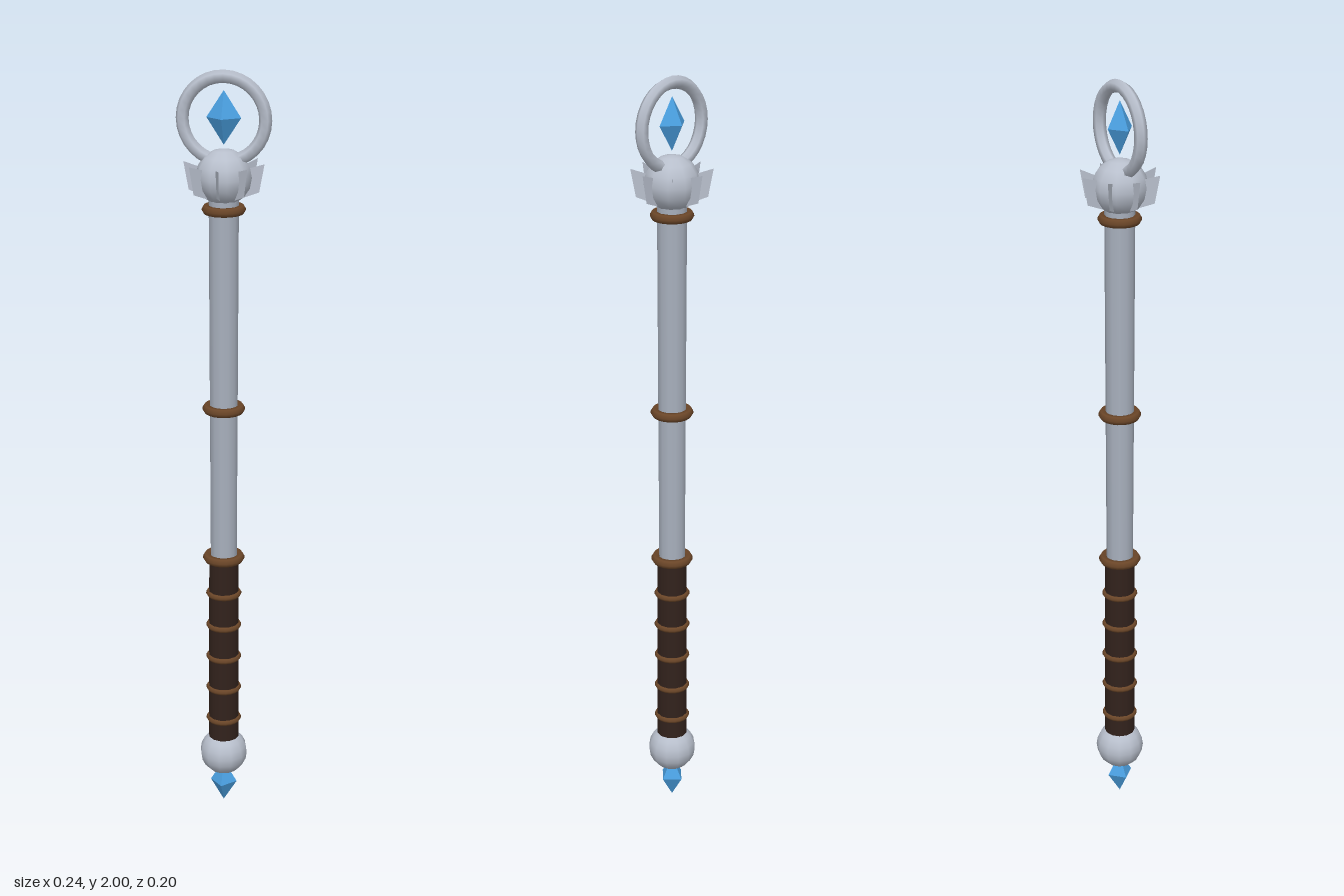
import * as THREE from 'three';

export function createModel() {
  const group = new THREE.Group();
  const mat = (color, extra = {}) => new THREE.MeshStandardMaterial({ color, ...extra });
  const steel = mat(0xb8bfcc);
  const shaftSteel = mat(0xa8b0bd);
  const finSteel = mat(0xb8bfcc, { side: THREE.DoubleSide });
  const leather = mat(0x32221c);
  const bronze = mat(0x6b4628);
  const gem = mat(0x4a9fe0, { flatShading: true });

  const add = (name, geometry, material, y) => {
    const mesh = new THREE.Mesh(geometry, material);
    mesh.name = name;
    mesh.position.y = y;
    group.add(mesh);
    return mesh;
  };
  const band = (name, y, radius, tube) =>
    add(name, new THREE.TorusGeometry(radius, tube, 6, 20).rotateX(Math.PI / 2), bronze, y);
  const crystal = (name, y, rx, ry, rz) =>
    add(name, new THREE.OctahedronGeometry(1, 0).scale(rx, ry, rz), gem, y);

  // Shaft, slightly wider toward the top
  add('shaft', new THREE.CylinderGeometry(0.038, 0.033, 1.52, 12), shaftSteel, 0.95);

  // Leather grip with thin bands
  add('grip', new THREE.CylinderGeometry(0.039, 0.041, 0.52, 12), leather, 0.455);
  for (let i = 0; i < 5; i++) band('gripBand', 0.257 + i * 0.0925, 0.039, 0.008);

  // Heavier bands along the shaft
  for (const y of [0.73, 1.143, 1.66]) band('shaftBand', y, 0.043, 0.012);

  // Pommel and lower crystal
  add('pommel', new THREE.SphereGeometry(0.064, 12, 10), steel, 0.153);
  crystal('pommelCrystal', 0.06, 0.036, 0.06, 0.036);

  // Head ball with thin radial fins
  add('headBall', new THREE.SphereGeometry(0.07, 10, 8), steel, 1.74);
  const fin = new THREE.Shape([
    [0.035, 1.755], [0.101, 1.775], [0.088, 1.705], [0.035, 1.685],
  ].map(([x, y]) => new THREE.Vector2(x, y)));
  for (let i = 0; i < 8; i++) {
    add('headFin', new THREE.ShapeGeometry(fin), finSteel, 0).rotation.y = (i * Math.PI) / 4;
  }

  // Upright ring holding a floating crystal
  add('headRing', new THREE.TorusGeometry(0.103, 0.016, 6, 32), steel, 1.881);
  crystal('headCrystal', 1.885, 0.043, 0.066, 0.033);

  return group;
}
